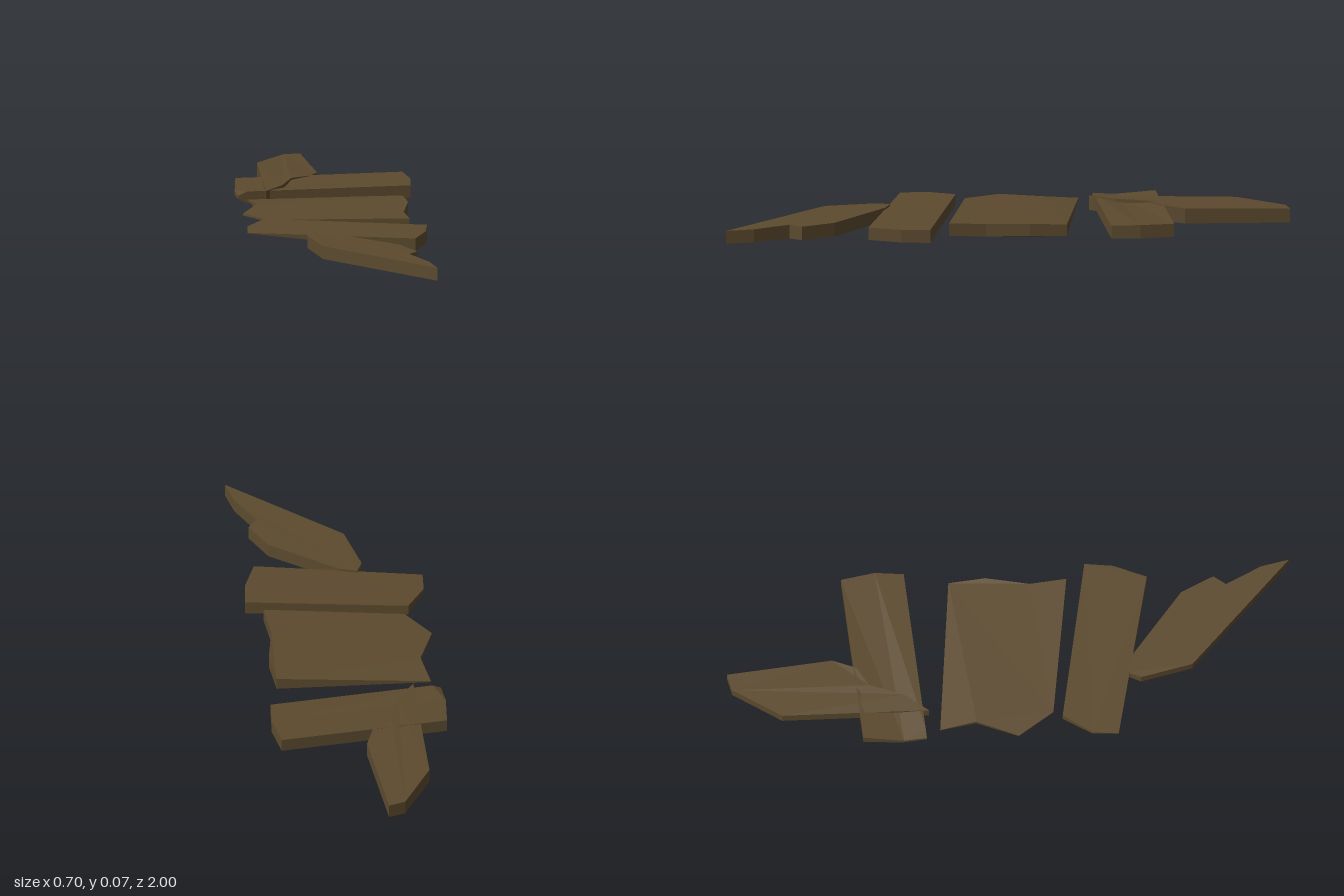
import * as THREE from 'three';

const wood = new THREE.MeshStandardMaterial({ color: 0x5c4a2e });
wood.name = 'darkWood';

// A broken plank: each outline corner is [x, z, top y, bottom y]
function plank(name, corners) {
  const flat = corners.map(([x, z]) => new THREE.Vector2(x, -z));
  if (THREE.ShapeUtils.isClockWise(flat)) {
    flat.reverse();
    corners = [...corners].reverse();
  }
  const top = corners.map(([x, z, t]) => [x, t, z]);
  const bottom = corners.map(([x, z, , b]) => [x, b, z]);
  const positions = [];
  const face = (...points) => points.forEach((p) => positions.push(...p));

  // Upper and lower faces
  for (const [a, b, c] of THREE.ShapeUtils.triangulateShape(flat, [])) {
    face(top[a], top[b], top[c]);
    face(bottom[a], bottom[c], bottom[b]);
  }
  // Sawn and splintered edges
  for (let i = 0; i < corners.length; i++) {
    const j = (i + 1) % corners.length;
    face(bottom[i], bottom[j], top[j]);
    face(bottom[i], top[j], top[i]);
  }
  const geometry = new THREE.BufferGeometry();
  geometry.setAttribute('position', new THREE.Float32BufferAttribute(positions, 3));
  geometry.computeVertexNormals();
  const mesh = new THREE.Mesh(geometry, wood);
  mesh.name = name;
  return mesh;
}

export function createModel() {
  const group = new THREE.Group();
  group.name = 'brokenPlanks';

  group.add(
    // Long splinter lying across the back plank
    plank('backSplinter', [
      [-0.18, -0.32, 0.064, 0.013], [-0.13, -0.83, 0.058, 0.007],
      [-0.01, -0.99, 0.051, 0.002], [0.05, -1.0, 0.05, 0.0],
      [0.05, -0.63, 0.058, 0.005], [0.01, -0.55, 0.065, 0.008],
      [-0.06, -0.515, 0.066, 0.01], [-0.11, -0.4, 0.066, 0.012],
    ]),
    plank('backPlank', [
      [-0.25, -0.56, 0.063, 0.018], [0.34, -0.56, 0.066, 0.02],
      [0.35, -0.44, 0.066, 0.018], [0.333, -0.34, 0.063, 0.018],
      [-0.245, -0.34, 0.06, 0.018], [-0.275, -0.34, 0.046, 0.034],
      [-0.275, -0.42, 0.048, 0.032],
    ]),
    // Widest board, tapering to a split left end
    plank('middlePlank', [
      [-0.25, -0.29, 0.042, 0.038], [0.28, -0.19, 0.06, 0.018],
      [0.28, -0.06, 0.064, 0.022], [0.24, 0.09, 0.06, 0.015],
      [0.24, 0.22, 0.064, 0.02], [-0.24, 0.11, 0.052, 0.044],
      [-0.31, -0.02, 0.05, 0.043], [-0.24, -0.16, 0.053, 0.035],
    ]),
    // Wedge shaped board
    plank('frontPlank', [
      [-0.26, 0.14, 0.063, 0.025], [0.29, 0.29, 0.054, 0.007],
      [0.27, 0.39, 0.052, 0.007], [0.215, 0.5, 0.051, 0.007],
      [-0.35, 0.325, 0.054, 0.052], [-0.335, 0.235, 0.058, 0.045],
    ]),
    plank('frontSplinter', [
      [-0.155, 0.43, 0.059, 0.015], [-0.13, 0.385, 0.06, 0.016],
      [-0.07, 0.41, 0.06, 0.013], [0.14, 0.61, 0.055, 0.006],
      [0.185, 0.73, 0.053, 0.005], [0.15, 0.77, 0.054, 0.005],
      [0.2, 0.9, 0.051, 0.005], [0.212, 1.0, 0.05, 0.004],
      [-0.13, 0.615, 0.059, 0.013],
    ]),
  );
  return group;
}
